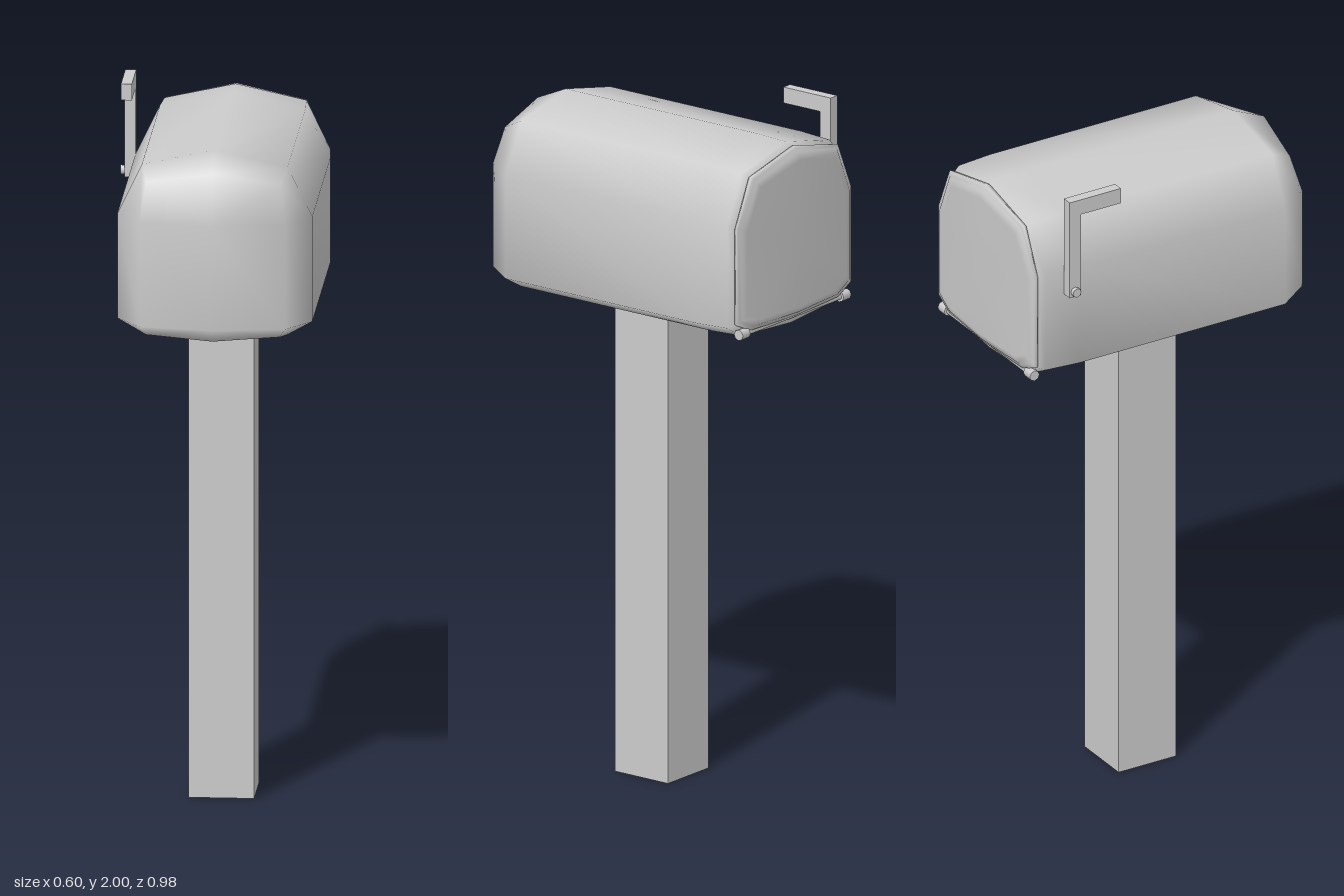
import * as THREE from 'three';
import { mergeVertices } from 'three/addons/utils/BufferGeometryUtils.js';

const CX = 0.02; // the box sits slightly off centre because of the flag

// Mirror a right-hand half section (bottom centre to top centre) into a closed loop
const loop = (half) => [...half, ...half.slice(1, -1).reverse().map(([x, y, z]) => [-x, y, z])];

// Skin a list of equal-length loops, ordered from back to front
function loft(rings) {
  const n = rings[0].length;
  const index = [];
  for (let i = 0; i < rings.length - 1; i++) {
    for (let j = 0; j < n; j++) {
      const a = i * n + j, b = i * n + (j + 1) % n;
      index.push(a, b, b + n, a, b + n, a + n);
    }
  }
  const geo = new THREE.BufferGeometry();
  geo.setAttribute('position', new THREE.Float32BufferAttribute(rings.flat(2), 3));
  geo.setIndex(index);
  const merged = mergeVertices(geo, 1e-4);
  merged.computeVertexNormals();
  return merged;
}

export function createModel() {
  const group = new THREE.Group();
  const mat = new THREE.MeshStandardMaterial({ color: 0xcccccc, side: THREE.DoubleSide });
  const add = (name, geo, x, y, z, parent = group) => {
    const mesh = new THREE.Mesh(geo, mat);
    mesh.name = name;
    mesh.position.set(x, y, z);
    parent.add(mesh);
    return mesh;
  };
  const box = (name, x0, x1, y0, y1, z0, z1, parent) =>
    add(name, new THREE.BoxGeometry(x1 - x0, y1 - y0, z1 - z0),
      (x0 + x1) / 2, (y0 + y1) / 2, (z0 + z1) / 2, parent);

  // Post
  box('post', -0.073, 0.113, 0, 1.41, -0.085, 0.105);

  // Arched box section
  const half = [[0, 1.405], [0.207, 1.42], [0.277, 1.46], [0.277, 1.765], [0.207, 1.91], [0, 1.955]];
  const midY = 1.66;
  const section = (z, sx, sy) => loop(half.map(([x, y]) => [x * sx, midY + (y - midY) * sy, z]));

  // Body: rounded-in rear edge, straight barrel, faceted bulging front
  add('body', loft([
    section(-0.458, 0, 0),
    section(-0.458, 0.86, 0.9),
    section(-0.455, 0.93, 0.95),
    section(-0.435, 0.975, 0.985),
    section(-0.33, 1, 1),
    section(0.355, 1, 1),
    loop([[0, 1.42, 0.452], [0.19, 1.43, 0.425], [0.207, 1.46, 0.455],
      [0.207, 1.765, 0.455], [0.19, 1.875, 0.425], [0, 1.91, 0.455]]),
    loop([[0, 1.46, 0.487], [0, 1.46, 0.487], [0, 1.46, 0.487],
      [0, 1.765, 0.487], [0, 1.765, 0.487], [0, 1.765, 0.487]]),
  ]), CX, 0, 0);

  // Door: thin rimmed lid with a slightly bowed panel
  const doorHalf = [[0, 1.44], [0.2, 1.445], [0.265, 1.475], [0.265, 1.76], [0.2, 1.9], [0, 1.945]];
  const doorRing = (z, s, bow = 0) => loop(doorHalf.map(([x, y]) =>
    [x * s, midY + (y - midY) * s, z - bow * (1 - (x / 0.265) ** 2)]));
  add('door', loft([
    doorRing(-0.488, 0),
    doorRing(-0.474, 0.86, 0.013),
    doorRing(-0.472, 0.93, 0.012),
    doorRing(-0.467, 0.955, 0.008),
    doorRing(-0.467, 0.985, 0.008),
    doorRing(-0.463, 1, 0.004),
    doorRing(-0.456, 0.99),
    doorRing(-0.456, 0),
  ]), CX, 0, 0);

  // Hinge rod with a knuckle at each end
  const hinge = new THREE.Group();
  hinge.name = 'hinge';
  group.add(hinge);
  const rod = (name, r, len, x) =>
    add(name, new THREE.CylinderGeometry(r, r, len, 8), x, 1.442, -0.46, hinge).rotation.z = Math.PI / 2;
  rod('hingeRod', 0.009, 0.46, CX);
  for (const s of [-1, 1]) rod('hingeKnuckle', 0.016, 0.035, CX + s * 0.232);

  // Signal flag on the right side
  const flag = new THREE.Group();
  flag.name = 'signalFlag';
  group.add(flag);
  box('flagArm', -0.289, -0.258, 1.695, 2, -0.38, -0.342, flag);
  box('flagTip', -0.289, -0.258, 1.953, 2, -0.342, -0.21, flag);
  add('flagPin', new THREE.CylinderGeometry(0.014, 0.014, 0.055, 8), -0.2735, 1.712, -0.362, flag)
    .rotation.z = Math.PI / 2;

  return group;
}
